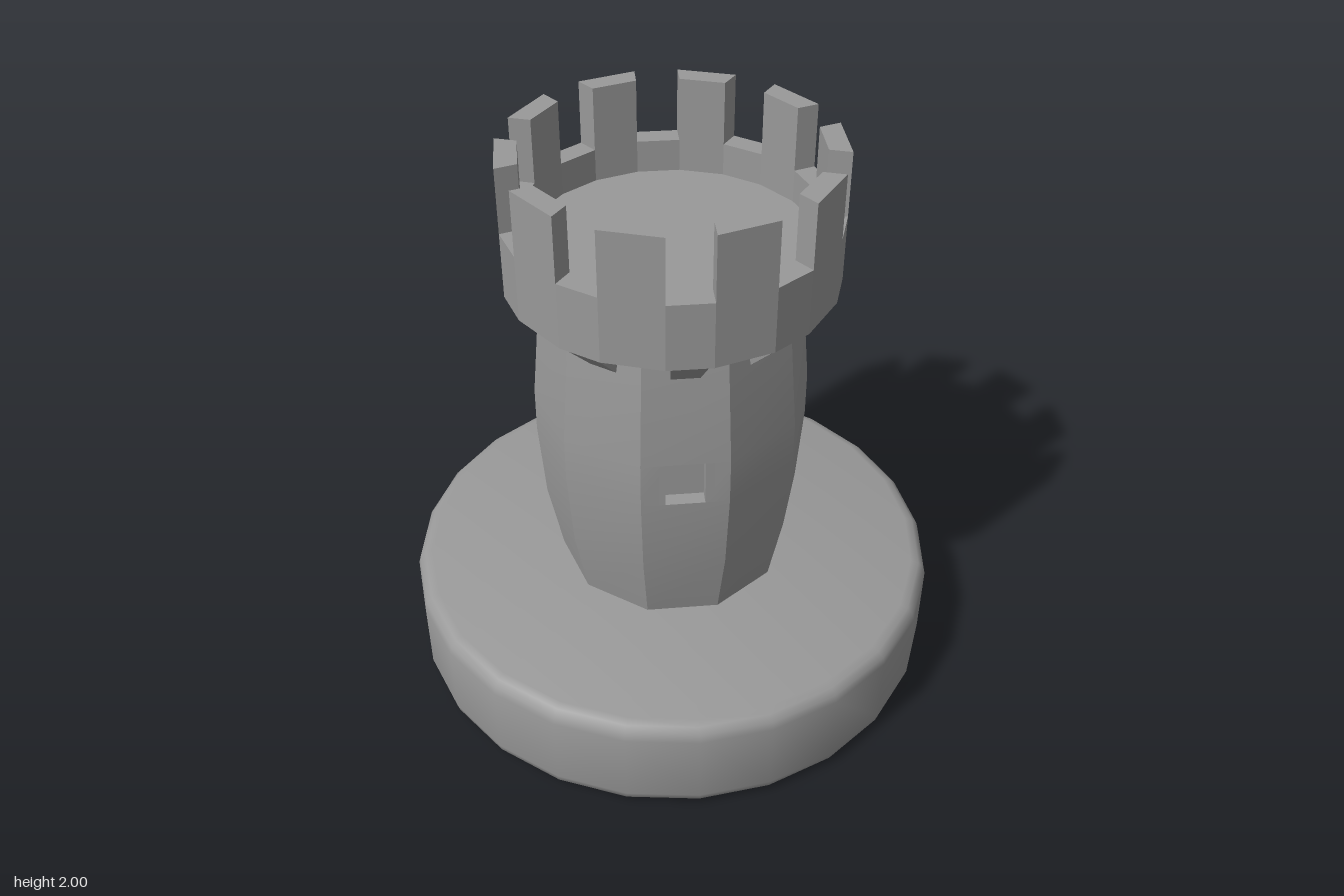
import * as THREE from 'three';
import { toCreasedNormals } from 'three/addons/utils/BufferGeometryUtils.js';

const SIDES = 10;
const STEP = (Math.PI * 2) / SIDES;
const material = new THREE.MeshStandardMaterial({ color: 0x999999 });

function addMesh(parent, name, geometry, angle = 0) {
  const mesh = new THREE.Mesh(geometry, material);
  mesh.name = name;
  mesh.rotation.y = angle;
  parent.add(mesh);
  return mesh;
}

// Upright prism from a plan outline, between two heights
function prism(outline, y0, y1, hole) {
  const shape = new THREE.Shape(outline);
  if (hole) shape.holes.push(new THREE.Path(hole));
  const geometry = new THREE.ExtrudeGeometry(shape, { depth: y1 - y0, bevelEnabled: false });
  return geometry.rotateX(-Math.PI / 2).translate(0, y0, 0);
}

// Round foot with softened rims
function footGeometry() {
  const R = 0.95, H = 0.38, b = 0.055;
  const profile = [new THREE.Vector2(0, 0)];
  for (const [cy, start] of [[b, -Math.PI / 2], [H - b, 0]]) {
    for (let i = 0; i <= 3; i++) {
      const a = start + (i / 3) * (Math.PI / 2);
      profile.push(new THREE.Vector2(R - b + b * Math.cos(a), cy + b * Math.sin(a)));
    }
  }
  profile.push(new THREE.Vector2(0, H));
  return toCreasedNormals(new THREE.LatheGeometry(profile, 24), 0.7);
}

// Ten-sided bulging shaft; chosen sides get a recessed window in one band
function shaftGeometry() {
  const rows = [[0.37, 0.403], [0.64, 0.455], [0.93, 0.476], [1.095, 0.475], [1.42, 0.445], [1.56, 0.428]];
  const windowBand = 2, windowSides = [0, 3, 7];
  const halfWindow = 0.066, depth = 0.05;
  const positions = [];

  for (let s = 0; s < SIDES; s++) {
    const sin = Math.sin(s * STEP), cos = Math.cos(s * STEP);
    const quad = (...corners) => {
      for (const i of [0, 1, 2, 0, 2, 3]) {
        const [x, y, z] = corners[i];
        positions.push(x * cos + z * sin, y, z * cos - x * sin);
      }
    };
    for (let k = 0; k < rows.length - 1; k++) {
      const [[y0, r0], [y1, r1]] = [rows[k], rows[k + 1]];
      const w0 = r0 * Math.sin(STEP / 2), w1 = r1 * Math.sin(STEP / 2);
      const z0 = r0 * Math.cos(STEP / 2), z1 = r1 * Math.cos(STEP / 2);
      if (k !== windowBand || !windowSides.includes(s)) {
        quad([-w0, y0, z0], [w0, y0, z0], [w1, y1, z1], [-w1, y1, z1]);
        continue;
      }
      const h = halfWindow, zi = z0 - depth;
      // wall beside the window
      quad([-w0, y0, z0], [-h, y0, z0], [-h, y1, z1], [-w1, y1, z1]);
      quad([h, y0, z0], [w0, y0, z0], [w1, y1, z1], [h, y1, z1]);
      // recess: back, jambs, sill, head
      quad([-h, y0, zi], [h, y0, zi], [h, y1, zi], [-h, y1, zi]);
      quad([-h, y0, z0], [-h, y0, zi], [-h, y1, zi], [-h, y1, z1]);
      quad([h, y0, zi], [h, y0, z0], [h, y1, z1], [h, y1, zi]);
      quad([-h, y0, z0], [h, y0, z0], [h, y0, zi], [-h, y0, zi]);
      quad([-h, y1, zi], [h, y1, zi], [h, y1, z1], [-h, y1, z1]);
    }
  }
  const geometry = new THREE.BufferGeometry();
  geometry.setAttribute('position', new THREE.Float32BufferAttribute(positions, 3));
  return toCreasedNormals(geometry, 0.5);
}

// Tapered bracket sloping out from the shaft to the parapet
function corbelGeometry() {
  const geometry = new THREE.BoxGeometry(2, 2, 2).toNonIndexed();
  const p = geometry.attributes.position;
  for (let i = 0; i < p.count; i++) {
    const top = p.getY(i) > 0;
    const z = p.getZ(i) < 0 ? 0.38 : top ? 0.548 : 0.426;
    p.setXYZ(i, p.getX(i) * (top ? 0.058 : 0.047), top ? 1.546 : 1.42, z);
  }
  geometry.computeVertexNormals();
  return geometry;
}

export function createModel() {
  const model = new THREE.Group();
  model.name = 'tower';
  addMesh(model, 'foot', footGeometry());
  addMesh(model, 'shaft', shaftGeometry());

  // Plan of the parapet: a corner on each side of every gap
  const gap = 0.073, outer = 0.551, inner = 0.476;
  const corner = (d, side, k) =>
    new THREE.Vector2(side * gap, d).rotateAround(new THREE.Vector2(), -k * STEP);
  const ringOutline = (d) => {
    const points = [];
    for (let k = 0; k < SIDES; k++) points.push(corner(d, -1, k), corner(d, 1, k));
    return points;
  };
  // the hole runs the opposite way round, so its wall faces inward
  addMesh(model, 'parapetWall', prism(ringOutline(outer), 1.545, 1.775, ringOutline(inner).reverse()));
  addMesh(model, 'parapetFloor', prism(ringOutline(inner), 1.545, 1.66));

  // Merlons stand between the gaps, corbels sit below them
  const merlon = prism(
    [corner(outer, 1, 0), corner(outer, -1, 1), corner(inner, -1, 1), corner(inner, 1, 0)], 1.775, 2);
  const corbel = corbelGeometry();
  const merlons = new THREE.Group();
  const corbels = new THREE.Group();
  merlons.name = 'merlons';
  corbels.name = 'corbels';
  for (let k = 0; k < SIDES; k++) {
    addMesh(merlons, 'merlon', merlon, k * STEP);
    addMesh(corbels, 'corbel', corbel, k * STEP);
  }
  model.add(merlons, corbels);
  return model;
}
